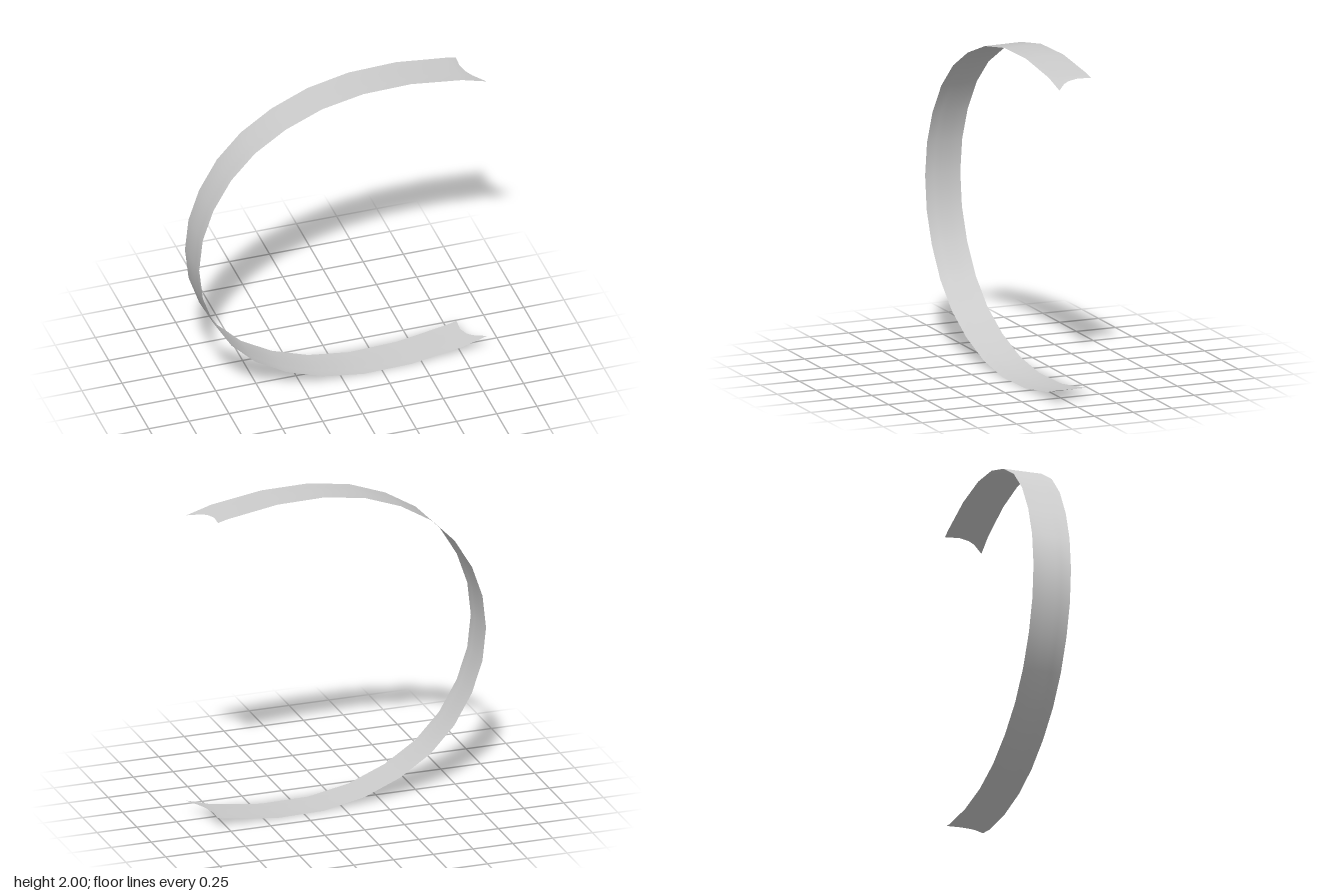
import * as THREE from 'three';

// Upper half of the band's centre line (x, y), from the open end round to the far side.
const UPPER = [
  [0.75, 1.955], [0.43, 2.0], [0.13, 2.0], [-0.13, 1.955], [-0.36, 1.866], [-0.555, 1.745],
  [-0.707, 1.59], [-0.82, 1.402], [-0.888, 1.207], [-0.911, 1.0],
];
// Swallow-tail end cut, front to back: fraction of the width and x.
const CUT = [[0, 0.91], [0.25, 0.84], [0.4, 0.815], [0.66, 0.796], [1, 0.802]];

// Front and back edges of the gently skewed band.
const frontZ = (x) => 0.108 - 0.041 * x + 0.014 * x * x;
const backZ = (x) => -0.132 - 0.0527 * x + 0.0112 * x * x;

function bandPoint(x, y, t) {
  const z = THREE.MathUtils.lerp(frontZ(x), backZ(x), t) - 0.005 * (y - 1);
  return [x, y, z];
}

function bandGeometry() {
  // Rows across the band: cut end, then the arc, mirrored below.
  const endY = (x) => 1.955 - 0.28 * (x - 0.75);
  const half = [
    CUT.map(([t, x]) => bandPoint(x, endY(x), t)),
    ...UPPER.map(([x, y]) => CUT.map(([t]) => {
      const p = bandPoint(x, y, t);
      p[0] += 0.006 - 0.012 * t;
      return p;
    })),
  ];
  const flip = (row) => row.map(([x, y, z]) => [x, 2 - y, z + 0.01 * (y - 1)]);
  const rows = [...half, ...half.slice(0, -1).reverse().map(flip)];

  const n = CUT.length;
  const index = [];
  for (let i = 0; i < rows.length - 1; i++) {
    for (let j = 0; j < n - 1; j++) {
      const a = i * n + j, b = a + 1, d = a + n, c = d + 1;
      index.push(a, b, d, b, c, d);
    }
  }
  const geometry = new THREE.BufferGeometry();
  geometry.setAttribute('position', new THREE.Float32BufferAttribute(rows.flat(2), 3));
  geometry.setIndex(index);
  geometry.computeVertexNormals();
  return geometry;
}

export function createModel() {
  const group = new THREE.Group();
  group.name = 'openBand';
  const material = new THREE.MeshStandardMaterial({ color: 0xcccccc, side: THREE.DoubleSide });
  const band = new THREE.Mesh(bandGeometry(), material);
  band.name = 'ribbonBand';
  group.add(band);
  return group;
}
